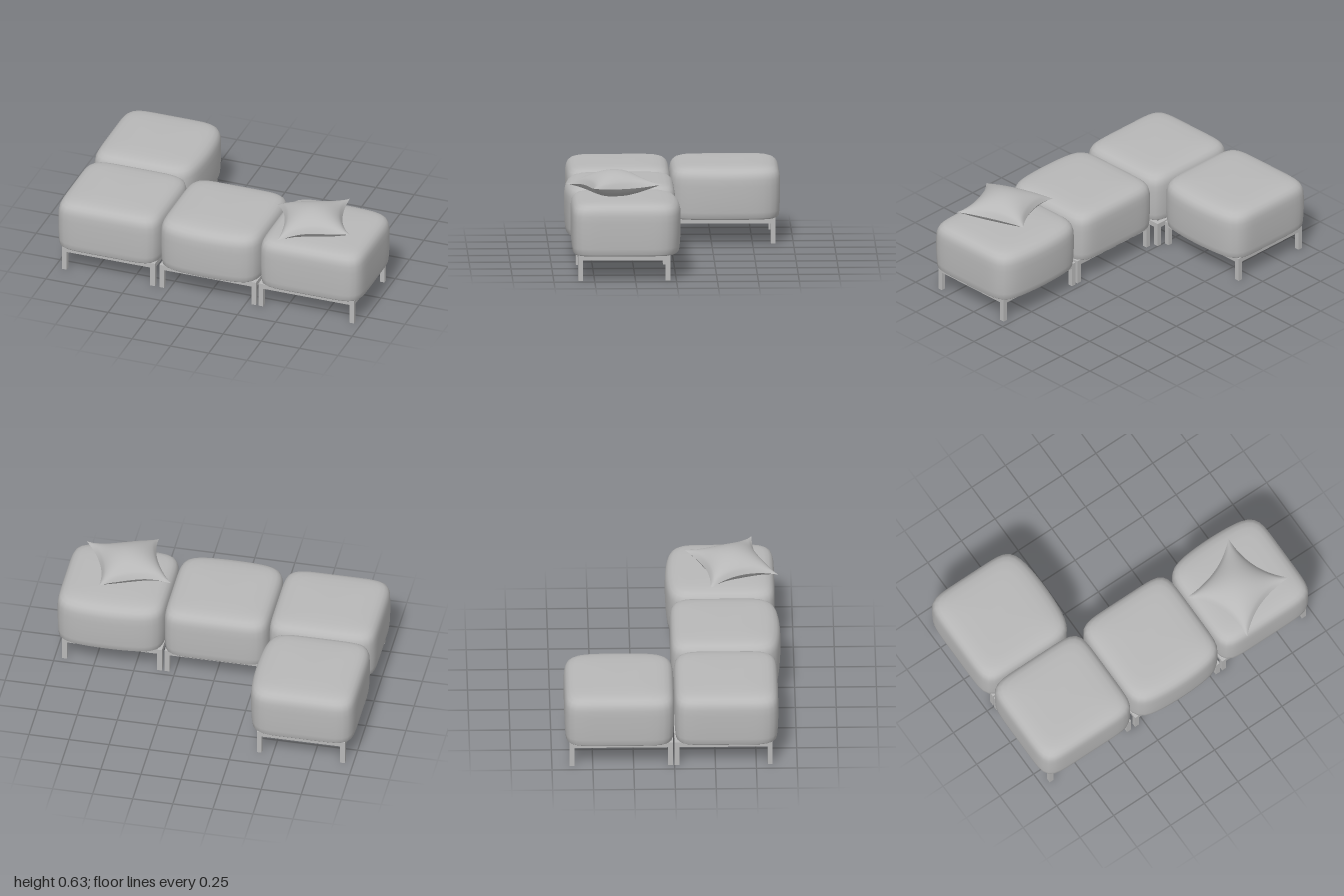
import * as THREE from 'three';

const grey = new THREE.MeshStandardMaterial({ color: 0xb8b8b8 });
grey.name = 'grey';
const greyOpen = new THREE.MeshStandardMaterial({ color: 0xb8b8b8, side: THREE.DoubleSide });
greyOpen.name = 'grey thin';

// Cushion profile from underside to crown: [height, plan scale]
const PROFILE = [
  [0.155, 0.5], [0.155, 0.95], [0.165, 0.98], [0.2, 0.99], [0.28, 1], [0.36, 1], [0.4, 0.995],
  [0.425, 0.98], [0.445, 0.95], [0.461, 0.895], [0.471, 0.81], [0.477, 0.67], [0.48, 0.42],
];

// Soft block lofted from rounded-square rings, with one side (-z) puffed out
function cushionGeometry(w, d, bulge) {
  const n = 72, power = 7, pos = [], index = [];
  PROFILE.forEach(([y, k], i) => {
    for (let j = 0; j < n; j++) {
      const a = (j / n) * Math.PI * 2, c = Math.cos(a), s = Math.sin(a);
      const r = k * Math.pow(Math.abs(c) ** power + Math.abs(s) ** power, -1 / power);
      const u = c * r, v = s * r;
      const puff = bulge * Math.max(0, 1 - u * u) * Math.max(0, v) ** 4;
      pos.push(u * w / 2, y, -v * d / 2 - puff);
      if (i > 0) {
        const j2 = (j + 1) % n, p = (i - 1) * n, q = i * n;
        index.push(p + j, p + j2, q + j2, p + j, q + j2, q + j);
      }
    }
  });
  // close the underside and crown
  const low = pos.length / 3, high = low + 1, last = (PROFILE.length - 1) * n;
  pos.push(0, 0.155, 0, 0, 0.481, 0);
  for (let j = 0; j < n; j++) {
    const j2 = (j + 1) % n;
    index.push(low, j2, j, high, last + j, last + j2);
  }
  const g = new THREE.BufferGeometry();
  g.setAttribute('position', new THREE.Float32BufferAttribute(pos, 3));
  g.setIndex(index);
  g.computeVertexNormals();
  return g;
}

function box(name, x0, x1, y0, y1, z0, z1) {
  const m = new THREE.Mesh(new THREE.BoxGeometry(x1 - x0, y1 - y0, z1 - z0), grey);
  m.position.set((x0 + x1) / 2, (y0 + y1) / 2, (z0 + z1) / 2);
  m.name = name;
  return m;
}

// Square-bar frame with four corner legs
function baseFrame([x0, x1, z0, z1]) {
  const g = new THREE.Group(), t = 0.03;
  g.name = 'baseFrame';
  for (const z of [z0, z1 - t]) g.add(box('longRail', x0, x1, 0.125, 0.157, z, z + t));
  for (const x of [x0, x1 - t]) {
    g.add(box('sideRail', x, x + t, 0.125, 0.157, z0 + t, z1 - t));
    for (const z of [z0, z1 - t]) g.add(box('leg', x, x + t, 0, 0.125, z, z + t));
  }
  return g;
}

// One half of the throw pillow: pinched square sheet, swollen in the middle
function pillowSheet(sign) {
  const g = new THREE.PlaneGeometry(2, 2, 28, 28).rotateX(-sign * Math.PI / 2);
  const p = g.attributes.position, h = 0.2235;
  for (let i = 0; i < p.count; i++) {
    const u = p.getX(i), v = p.getZ(i);
    const swell = Math.pow(Math.max(0, (1 - u * u) * (1 - v * v)), 0.6);
    const seam = 0.012 * u * v * v + 0.006 * Math.sin(5 * u + 3 * v) * (u * u + v * v) / 2;
    p.setXYZ(i,
      h * u * (1 - 0.21 * (1 - v * v)),
      seam * (1 - swell) + (sign > 0 ? 0.09 : -0.072) * swell,
      h * v * (1 - 0.21 * (1 - u * u)));
  }
  g.computeVertexNormals();
  return g;
}

export function createModel() {
  const model = new THREE.Group();
  model.name = 'modularSofa';

  // extents are [x0, x1, z0, z1]; turn points the puffed side
  const seats = [
    { name: 'cornerSeat', cushion: [-0.995, -0.325, 0, 0.637], frame: [-0.95, -0.345, 0, 0.6], turn: 0, bulge: 0 },
    { name: 'middleSeat', cushion: [-0.327, 0.327, -0.013, 0.63], frame: [-0.315, 0.315, 0.037, 0.6], turn: Math.PI, bulge: 0.033 },
    { name: 'leftSeat', cushion: [0.325, 0.998, 0, 0.637], frame: [0.332, 0.955, 0.037, 0.6], turn: 0, bulge: 0.033 },
    { name: 'rearSeat', cushion: [-0.998, -0.362, -0.672, 0], frame: [-0.95, -0.4, -0.642, -0.01], turn: -Math.PI / 2, bulge: 0.033 },
  ];
  for (const { name, cushion: [x0, x1, z0, z1], frame, turn, bulge } of seats) {
    const seat = new THREE.Group();
    seat.name = name;
    const sideways = Math.abs(Math.sin(turn)) > 0.5;
    const w = x1 - x0, d = z1 - z0;
    const pad = new THREE.Mesh(cushionGeometry(sideways ? d : w, sideways ? w : d, bulge), grey);
    pad.name = 'cushion';
    pad.position.set((x0 + x1) / 2, 0, (z0 + z1) / 2);
    pad.rotation.y = turn;
    seat.add(pad, baseFrame(frame));
    model.add(seat);
  }

  // Throw pillow lying on the left seat
  const pillow = new THREE.Group();
  pillow.name = 'throwPillow';
  for (const sign of [1, -1]) {
    const half = new THREE.Mesh(pillowSheet(sign), greyOpen);
    half.name = sign > 0 ? 'pillowTop' : 'pillowUnderside';
    pillow.add(half);
  }
  pillow.position.set(0.606, 0.54, 0.372);
  pillow.rotation.y = 0.363;
  model.add(pillow);

  return model;
}
